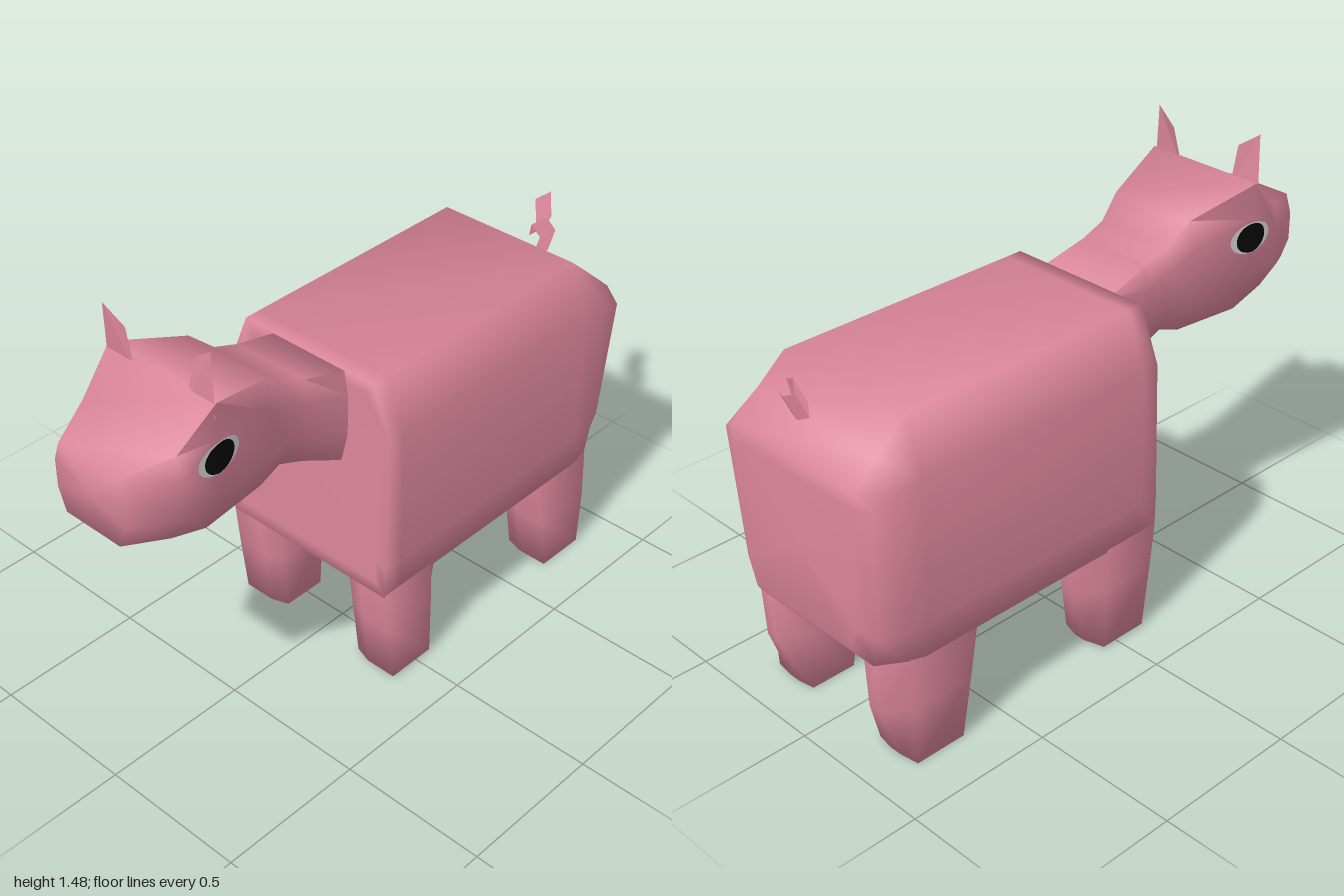
import * as THREE from 'three';
import { toCreasedNormals } from 'three/addons/utils/BufferGeometryUtils.js';

const mat = (name, color, side = THREE.FrontSide) => {
  const m = new THREE.MeshStandardMaterial({ color, side });
  m.name = name;
  return m;
};

// Skin closed rings of [x, y, z] points, with capped ends and creased normals
function loft(rings, crease) {
  const tris = [];
  const n = rings[0].length;
  for (let i = 0; i < rings.length - 1; i++) {
    for (let j = 0; j < n; j++) {
      const k = (j + 1) % n;
      const a = rings[i][j], b = rings[i][k], c = rings[i + 1][k], d = rings[i + 1][j];
      tris.push([a, b, c], [a, c, d]);
    }
  }
  const cap = (ring, flip) => {
    const mid = [0, 1, 2].map((q) => ring.reduce((s, p) => s + p[q], 0) / n);
    ring.forEach((p, j) => {
      const r = ring[(j + 1) % n];
      tris.push(flip ? [mid, r, p] : [mid, p, r]);
    });
  };
  cap(rings[0], true);
  cap(rings[rings.length - 1], false);
  // turn every face outward
  const v = (p) => new THREE.Vector3(...p);
  const volume = tris.reduce((s, [a, b, c]) => s + v(a).dot(v(b).cross(v(c))), 0);
  if (volume < 0) tris.forEach((t) => t.reverse());
  const geo = new THREE.BufferGeometry();
  geo.setAttribute('position', new THREE.Float32BufferAttribute(tris.flat(2), 3));
  return toCreasedNormals(geo, crease);
}

// Complete a half section (top to bottom, z > 0) by mirroring it across z
const mirrorRing = (half) => [...half, ...half.map(([x, y, z]) => [x, y, -z]).reverse()];

// Shrink a ring toward a centre in its own plane
const inset = (ring, s, cy) => ring.map(([x, y, z]) => [x, cy + (y - cy) * s, z * s]);

// Flat-shaded open sheet
function sheet(points, index) {
  const geo = new THREE.BufferGeometry();
  geo.setAttribute('position', new THREE.Float32BufferAttribute(points.flat(), 3));
  geo.setIndex(index);
  const flat = geo.toNonIndexed();
  flat.computeVertexNormals();
  return flat;
}

// Head and neck sections: x, top, bottom, half width, top width share, bottom width share
const HEAD = [
  [-0.99, 1.18, 0.95, 0.138, 0.85, 0.8],
  [-0.84, 1.21, 0.91, 0.21, 0.9, 0.7],
  [-0.71, 1.33, 0.87, 0.209, 1.03, 0.7],
  [-0.47, 1.26, 0.87, 0.17, 0.92, 0.7],
  [-0.39, 1.19, 0.9, 0.155, 0.9, 0.75],
  [-0.3, 1.16, 0.865, 0.15, 0.9, 0.8],
  [-0.13, 1.115, 0.785, 0.163, 0.9, 0.85],
];

// Half width of the cheek at a given x
function headWidth(x) {
  const i = HEAD.findIndex((row) => x <= row[0]);
  const a = HEAD[i - 1], b = HEAD[i];
  return a[3] + ((b[3] - a[3]) * (x - a[0])) / (b[0] - a[0]);
}

export function createModel() {
  const group = new THREE.Group();
  const pink = mat('pink skin', 0xdc869c, THREE.DoubleSide);
  const white = mat('eye white', 0xd8d8d6);
  const black = mat('pupil black', 0x080808);
  const add = (name, geo, material) => {
    const mesh = new THREE.Mesh(geo, material);
    mesh.name = name;
    group.add(mesh);
    return mesh;
  };

  // Body: chamfered box with a sloping rump and rounded hind corners
  const section = (x, lean = 0) => mirrorRing([
    [x, 1.125, 0.26], [x, 0.95, 0.33], [x - lean, 0.48, 0.33], [x - lean, 0.368, 0.328],
  ]);
  const front = section(-0.147, 0.014);
  const rump = mirrorRing([
    [0.88, 1.04, 0.262], [0.88, 0.95, 0.33], [0.86, 0.48, 0.33], [0.84, 0.368, 0.325],
  ]);
  const back = mirrorRing([
    [0.97, 0.96, 0.27], [0.955, 0.92, 0.325], [0.94, 0.48, 0.295], [0.93, 0.37, 0.26],
  ]);
  const rear = inset(back, 0.82, 0.68).map(([, y, z]) => [0.972, y, z]);
  add('body', loft([inset(front, 0.88, 0.75), front, section(-0.09), section(0.78), rump, back, rear], 1.65), pink);

  // Head and neck in one skin
  add('headAndNeck', loft(HEAD.map(([x, t, b, w, wt, wb]) => mirrorRing([
    [x, t, w * wt], [x, t - (t - b) * 0.27, w], [x, b + (t - b) * 0.33, w], [x, b, w * wb],
  ])), 1.4), pink);

  // Legs: tapering columns, chamfered behind; rows give y, x from, x to, rear bulge, outer z
  const frontRows = [
    [0.46, -0.155, 0.05, 0.12, 0.315], [0.37, -0.16, 0.05, 0.115, 0.329],
    [0.22, -0.143, 0.06, 0.08, 0.329], [0.01, -0.115, 0.06, 0.02, 0.329],
  ];
  const hindRows = [
    [0.46, 0.59, 0.83, 0.09, 0.315], [0.37, 0.595, 0.845, 0.085, 0.327],
    [0.2, 0.625, 0.85, 0.07, 0.329], [0.003, 0.66, 0.84, 0.01, 0.329],
  ];
  for (const side of [1, -1]) {
    const label = side > 0 ? 'Left' : 'Right';
    const leg = (rows) => loft(rows.map(([y, a, b, e, z]) => [
      [a, y, z * side], [b, y, z * side], [b + e, y, 0.26 * side], [b + e, y, 0.22 * side],
      [b, y, 0.16 * side], [a + 0.02, y, 0.16 * side], [a, y, 0.22 * side],
    ]), 1.65);
    add('frontLeg' + label, leg(frontRows), pink);
    add('hindLeg' + label, leg(hindRows), pink);

    // Ear: a thin pointed sheet
    const tipX = side > 0 ? -0.705 : -0.738;
    add('ear' + label, sheet([
      [-0.718, 1.28, 0.1 * side], [-0.718, 1.28, 0.215 * side],
      [tipX + 0.012, 1.425, 0.12 * side], [tipX, 1.478, 0.195 * side],
    ], [0, 1, 3, 0, 3, 2]), pink);

    // Eye: discs wrapped onto the cheek
    const disc = (rx, ry, lift) => {
      const geo = new THREE.RingGeometry(0.001, 1, 28, 4);
      const p = geo.attributes.position;
      for (let i = 0; i < p.count; i++) {
        const x = -0.703 + p.getX(i) * rx;
        p.setXYZ(i, x, 1.146 + p.getY(i) * ry, headWidth(x) + lift);
      }
      geo.computeVertexNormals();
      return geo;
    };
    const eye = add('eyeWhite' + label, disc(0.083, 0.052, 0.003), white);
    const pupil = add('pupil' + label, disc(0.06, 0.049, 0.005), black);
    if (side < 0) for (const m of [eye, pupil]) m.scale.z = -1;
  }

  // Tail: a folded ribbon
  const path = [[0.882, 1.03, 0.055], [0.89, 1.11, 0.075], [0.9, 1.135, 0.03], [0.905, 1.09, 0.02], [0.955, 1.108, 0.008], [1.0, 1.165, -0.035]];
  const points = path.flatMap(([x, y, z]) => [[x, y - 0.025, z - 0.03], [x, y + 0.025, z + 0.03]]);
  const index = [];
  for (let q = 0; q < points.length - 2; q += 2) index.push(q, q + 1, q + 3, q, q + 3, q + 2);
  add('tail', sheet(points, index), pink);

  return group;
}
